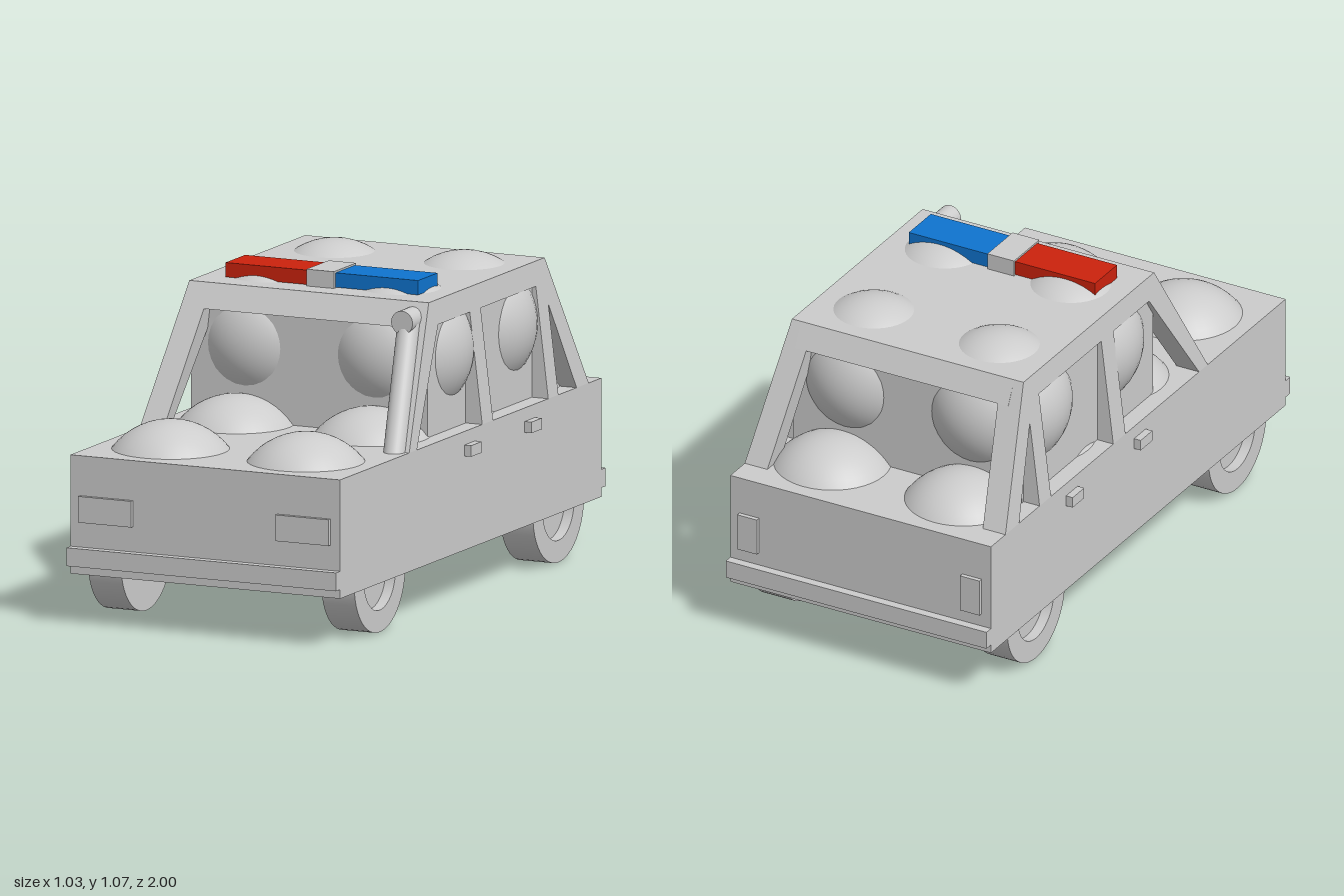
import * as THREE from 'three';
import { toCreasedNormals } from 'three/addons/utils/BufferGeometryUtils.js';

export function createModel() {
  const group = new THREE.Group();
  const material = (name, color) => {
    const m = new THREE.MeshStandardMaterial({ color });
    m.name = name;
    return m;
  };
  const grey = material('lightGrey', 0xcccccc);
  const red = material('beaconRed', 0xcc220d);
  const blue = material('beaconBlue', 0x0f74cf);

  const add = (name, geometry, mat = grey) => {
    const mesh = new THREE.Mesh(geometry, mat);
    mesh.name = name;
    group.add(mesh);
    return mesh;
  };
  // Box given by its limits on each axis
  const box = (name, x0, x1, y0, y1, z0, z1, mat) =>
    add(name, new THREE.BoxGeometry(x1 - x0, y1 - y0, z1 - z0), mat)
      .position.set((x0 + x1) / 2, (y0 + y1) / 2, (z0 + z1) / 2);
  // Outline in (z, y), extruded along x from -depth to 0
  const sideExtrude = (points, depth) => {
    const shape = new THREE.Shape(points.map(([z, y]) => new THREE.Vector2(z, y)));
    return new THREE.ExtrudeGeometry(shape, { depth, bevelEnabled: false }).rotateY(-Math.PI / 2);
  };

  // Body, bumpers and solid cabin core
  box('body', -0.49, 0.49, 0.165, 0.56, -0.97, 0.97);
  box('frontBumper', -0.49, 0.49, 0.195, 0.256, 0.97, 1);
  box('rearBumper', -0.49, 0.49, 0.195, 0.256, -1, -0.97);
  box('cabinCore', -0.43, 0.43, 0.56, 1.01, -0.66, 0.2);

  // Headers above the windscreen and rear window
  const header = (name, points) => add(name, sideExtrude(points, 0.8).translate(0.4, 0, 0));
  header('frontHeader', [[0.2, 1.01], [0.19, 0.93], [0.246, 0.93]]);
  header('rearHeader', [[-0.66, 1.01], [-0.7, 0.93], [-0.65, 0.93]]);

  // Side frames: pillars hanging from the roof rail, leaning inwards
  const framePoints = [
    [0.457, 0.56], [0.2, 1.01], [-0.66, 1.01], [-0.875, 0.56],
    [-0.785, 0.56], [-0.65, 0.86], [-0.65, 0.56],
    [-0.575, 0.56], [-0.575, 0.93], [-0.165, 0.93], [-0.165, 0.56],
    [-0.085, 0.56], [-0.085, 0.93], [0.15, 0.93], [0.4, 0.56],
  ];
  const thickness = 0.085;
  for (const side of [1, -1]) {
    const geometry = sideExtrude(framePoints, thickness);
    const p = geometry.attributes.position;
    for (let i = 0; i < p.count; i++) {
      const outer = 0.49 - (p.getY(i) - 0.56) * 0.122;
      p.setX(i, side > 0 ? p.getX(i) + outer : p.getX(i) + thickness - outer);
    }
    geometry.computeVertexNormals();
    add(side > 0 ? 'leftSideFrame' : 'rightSideFrame', geometry);
  }

  // Domes: a low layer in the body and a high layer in the cabin
  const dome = (name, radius, x, y, z) =>
    add(name, new THREE.SphereGeometry(radius, 40, 28)).position.set(x, y, z);
  for (const side of [1, -1]) {
    for (const z of [0.725, 0.24, -0.24, -0.725]) dome('bodyDome', 0.244, side * 0.246, 0.411, z);
    for (const z of [0, -0.47]) dome('cabinDome', 0.24, side * 0.236, 0.81, z);
  }

  // Wheels with recessed hubs facing outwards
  const profile = [[0, -0.06], [0.19, -0.06], [0.19, 0.06], [0.117, 0.06], [0.117, 0.025], [0, 0.025]]
    .map(([r, y]) => new THREE.Vector2(r, y));
  const wheelGeometry = toCreasedNormals(new THREE.LatheGeometry(profile, 48), 0.6);
  for (const side of [1, -1]) {
    for (const z of [0.663, -0.663]) {
      const wheel = add('wheel', wheelGeometry);
      wheel.rotation.z = -side * Math.PI / 2;
      wheel.position.set(side * 0.424, 0.19, z);
    }
  }

  // Headlights, tail lights and door handles
  const sideBox = (name, x0, x1, ...rest) => {
    box(name, x0, x1, ...rest);
    box(name, -x1, -x0, ...rest);
  };
  sideBox('headlight', 0.262, 0.455, 0.34, 0.427, 0.97, 0.985);
  sideBox('tailLight', 0.382, 0.455, 0.302, 0.43, -0.985, -0.97);
  sideBox('doorHandle', 0.49, 0.515, 0.478, 0.515, -0.028, 0.048);
  sideBox('doorHandle', 0.49, 0.515, 0.478, 0.515, -0.476, -0.4);

  // Roof light bar
  box('redBeacon', -0.35, -0.05, 1.012, 1.06, -0.04, 0.105, red);
  box('blueBeacon', 0.05, 0.35, 1.012, 1.06, -0.04, 0.105, blue);
  box('beaconMount', -0.05, 0.05, 1.01, 1.066, -0.048, 0.118);

  // Air intake pipe along the left front pillar
  const rod = (name, a, b, radius) => {
    const from = new THREE.Vector3(...a), to = new THREE.Vector3(...b);
    const direction = to.clone().sub(from);
    const mesh = add(name, new THREE.CylinderGeometry(radius, radius, direction.length(), 32));
    mesh.position.copy(from).add(to).multiplyScalar(0.5);
    mesh.quaternion.setFromUnitVectors(new THREE.Vector3(0, 1, 0), direction.normalize());
  };
  rod('intakePipe', [0.442, 0.53, 0.475], [0.383, 0.955, 0.24], 0.037);
  rod('intakeHead', [0.383, 0.955, 0.205], [0.383, 0.955, 0.293], 0.039);

  return group;
}
